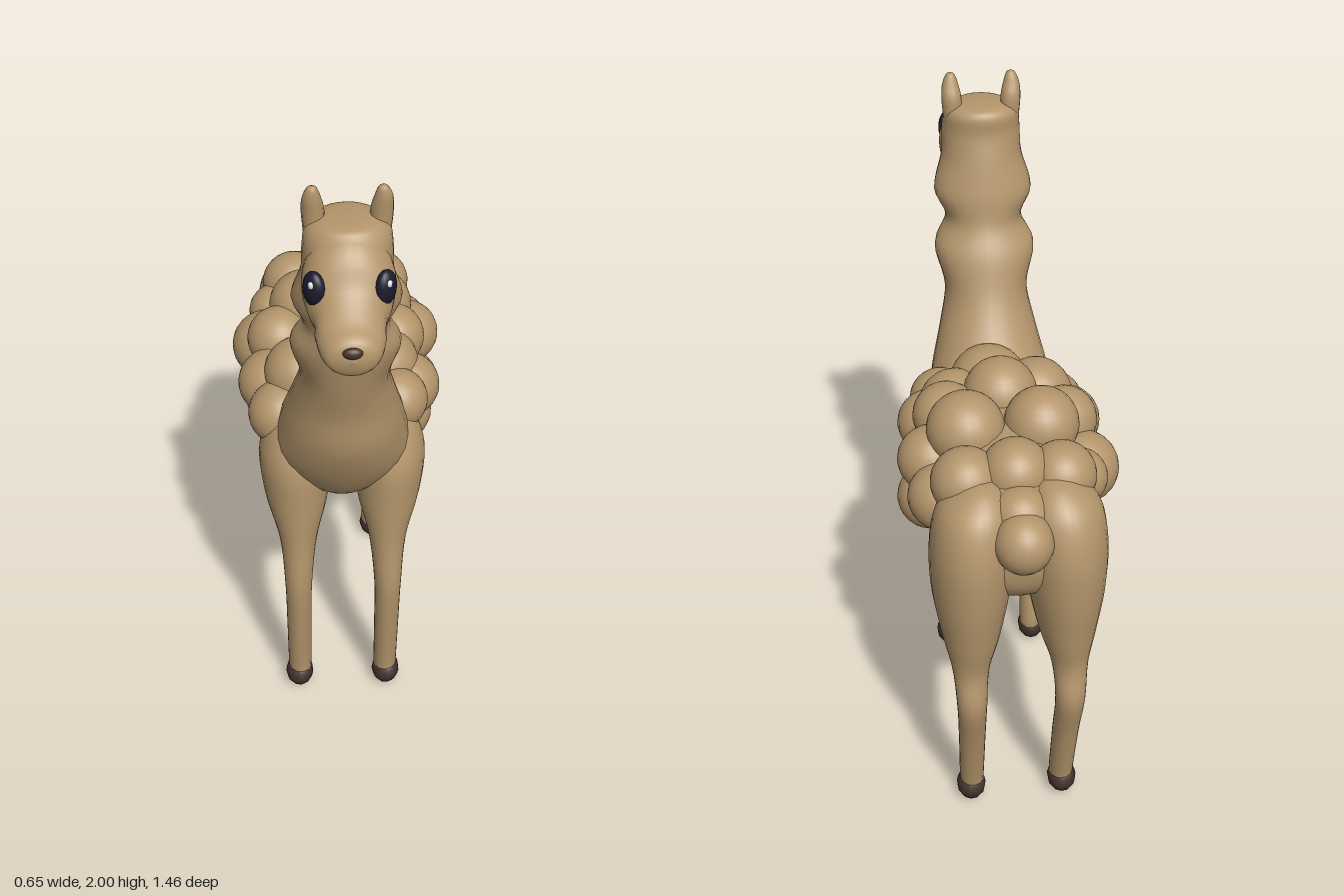
import * as THREE from 'three';

const mat = (name, color) => {
  const m = new THREE.MeshStandardMaterial({ color });
  m.name = name;
  return m;
};

// Smooth value between the rows of a profile, column by column
function sample(rows, t) {
  const i = Math.min(Math.floor(t), rows.length - 2), f = t - i;
  const p = k => rows[Math.max(0, Math.min(rows.length - 1, k))];
  return rows[i].map((_, c) => {
    const a = p(i - 1)[c], b = p(i)[c], d = p(i + 1)[c], e = p(i + 2)[c];
    return b + 0.5 * f * (d - a + f * (2 * a - 5 * b + 4 * d - e + f * (3 * (b - d) + e - a)));
  });
}

// Skin over elliptical rings. Rows run upwards along the axis:
// axis 'y': [y, x, z, radiusX, radiusZ]; axis 'z': [z, x, y, radiusX, radiusY]
function loft(rows, axis = 'y', side = 1, n = 28, steps = 5) {
  const pos = [], index = [], total = (rows.length - 1) * steps;
  for (let i = 0; i <= total; i++) {
    const [h, x, c, r1, r2] = sample(rows, i / steps);
    for (let j = 0; j < n; j++) {
      const a = (j / n) * Math.PI * 2;
      const px = x * side + Math.cos(a) * Math.max(r1, 0.0005);
      const q = Math.sin(a) * Math.max(r2, 0.0005);
      if (axis === 'y') pos.push(px, h, c + q);
      else pos.push(px, c - q, h);
      if (i < total) {
        const k = (j + 1) % n, a0 = i * n + j, b0 = i * n + k;
        index.push(a0, a0 + n, b0, b0, a0 + n, b0 + n);
      }
    }
  }
  const g = new THREE.BufferGeometry();
  g.setAttribute('position', new THREE.Float32BufferAttribute(pos, 3));
  g.setIndex(index);
  g.computeVertexNormals();
  return g;
}

export function createModel() {
  const root = new THREE.Group();
  root.name = 'woollyAnimal';
  const fur = mat('tan fur', 0xb3956b);
  const hoofBrown = mat('hoof brown', 0x43322d);
  const eyeNavy = mat('eye navy', 0x1b1b2e);
  const cheekPink = mat('cheek pink', 0xcb8494);
  const noseBrown = mat('nose brown', 0x4a3029);
  const white = mat('eye highlight', 0xf4f4f4);

  const add = (name, geo, material, parent = root) => {
    const m = new THREE.Mesh(geo, material);
    m.name = name;
    parent.add(m);
    return m;
  };
  const ball = (name, material, [x, y, z], [a, b, c], parent = root, seg = 20) => {
    const m = add(name, new THREE.SphereGeometry(1, seg, Math.round(seg * 0.7)), material, parent);
    m.position.set(x, y, z);
    m.scale.set(a, b, c);
    return m;
  };

  // Barrel of the body
  add('body', loft([
    [-0.66, 0, 1.0, 0, 0], [-0.64, 0, 1.0, 0.11, 0.1], [-0.57, 0, 1.0, 0.19, 0.17],
    [-0.42, 0, 1.0, 0.225, 0.205], [-0.2, 0, 1.0, 0.235, 0.215], [0.04, 0, 1.0, 0.23, 0.21],
    [0.18, 0, 1.0, 0.2, 0.18], [0.27, 0, 1.0, 0.12, 0.11], [0.3, 0, 1.0, 0, 0],
  ], 'z'), fur);

  // Chest, rippled neck and back of the skull
  add('neck', loft([
    [0.8, 0, 0.13, 0, 0], [0.83, 0, 0.14, 0.1, 0.1], [0.95, 0, 0.15, 0.2, 0.18],
    [1.1, 0, 0.2, 0.185, 0.2], [1.24, 0, 0.262, 0.15, 0.158], [1.36, 0, 0.315, 0.127, 0.137],
    [1.48, 0, 0.352, 0.153, 0.128], [1.565, 0, 0.383, 0.116, 0.115], [1.65, 0, 0.395, 0.148, 0.11],
    [1.75, 0, 0.425, 0.122, 0.115], [1.83, 0, 0.44, 0.118, 0.108], [1.885, 0, 0.43, 0.108, 0.095],
    [1.908, 0, 0.43, 0.07, 0.07], [1.914, 0, 0.43, 0, 0],
  ]), fur);

  // Face and muzzle
  add('face', loft([
    [0.38, 0, 1.76, 0, 0], [0.41, 0, 1.76, 0.09, 0.11], [0.49, 0, 1.757, 0.121, 0.143],
    [0.555, 0, 1.735, 0.112, 0.126], [0.6, 0, 1.7, 0.092, 0.091], [0.66, 0, 1.672, 0.086, 0.068],
    [0.71, 0, 1.662, 0.062, 0.05], [0.727, 0, 1.664, 0, 0],
  ], 'z'), fur);
  ball('nose', noseBrown, [0, 1.686, 0.718], [0.026, 0.016, 0.014]);

  const frontLeg = [
    [0.05, 0.14, 0.213, 0.035, 0.042], [0.1, 0.14, 0.21, 0.037, 0.045], [0.3, 0.14, 0.234, 0.039, 0.046],
    [0.48, 0.14, 0.25, 0.042, 0.05], [0.65, 0.138, 0.215, 0.058, 0.075], [0.8, 0.14, 0.16, 0.098, 0.13],
    [0.95, 0.145, 0.145, 0.105, 0.14], [1.06, 0.14, 0.14, 0.07, 0.09], [1.1, 0.14, 0.14, 0, 0],
  ];
  const rearLeg = [
    [0.05, 0.14, -0.52, 0.035, 0.042], [0.1, 0.14, -0.525, 0.037, 0.045], [0.3, 0.142, -0.575, 0.04, 0.046],
    [0.47, 0.145, -0.622, 0.044, 0.048], [0.59, 0.145, -0.592, 0.054, 0.062], [0.7, 0.14, -0.55, 0.085, 0.12],
    [0.85, 0.137, -0.527, 0.113, 0.163], [1.0, 0.132, -0.528, 0.12, 0.163], [1.12, 0.122, -0.53, 0.105, 0.125],
    [1.18, 0.11, -0.53, 0.05, 0.06], [1.195, 0.11, -0.53, 0, 0],
  ];
  const ear = [
    [1.84, 0.085, 0.42, 0.026, 0.026], [1.92, 0.088, 0.42, 0.03, 0.029], [1.965, 0.091, 0.43, 0.024, 0.022],
    [1.993, 0.09, 0.435, 0.013, 0.013], [2.0, 0.09, 0.435, 0, 0],
  ];

  // Mirrored parts
  for (const [s, side] of [[1, 'left'], [-1, 'right']]) {
    add(side + 'FrontLeg', loft(frontLeg, 'y', s), fur);
    add(side + 'RearLeg', loft(rearLeg, 'y', s), fur);
    add(side + 'Ear', loft(ear, 'y', s, 14, 4), fur);
    ball(side + 'FrontHoof', hoofBrown, [s * 0.142, 0.05, 0.213], [0.045, 0.05, 0.053], root, 11);
    ball(side + 'RearHoof', hoofBrown, [s * 0.142, 0.05, -0.523], [0.045, 0.05, 0.053], root, 11);

    const eye = new THREE.Group();
    eye.name = side + 'Eye';
    eye.position.set(s * 0.09, 1.778, 0.565);
    eye.rotation.y = s * 0.85;
    root.add(eye);
    ball('eyeball', eyeNavy, [0, 0, 0], [0.035, 0.051, 0.024], eye);
    ball('eyeHighlight', white, [s * -0.008, 0.022, 0.018], [0.009, 0.011, 0.007], eye, 10);

    ball(side + 'Cheek', cheekPink, [s * 0.08, 1.678, 0.63], [0.011, 0.024, 0.029]).rotation.y = s * -0.12;
  }

  // Wool tufts over the back and flanks: [x, y, z, radius]
  const tufts = [
    [0, 1.2, -0.08, 0.11], [-0.1, 1.195, -0.25, 0.11], [0.12, 1.19, -0.25, 0.115],
    [-0.13, 1.15, -0.45, 0.1], [0, 1.17, -0.45, 0.1], [0.14, 1.15, -0.45, 0.1],
    [0.02, 1.15, 0.06, 0.12], [-0.12, 1.13, 0.02, 0.11], [0.13, 1.13, -0.02, 0.11],
    [-0.22, 1.04, -0.26, 0.11], [-0.205, 1.06, -0.03, 0.105], [-0.18, 1.04, 0.1, 0.1],
    [-0.19, 0.93, -0.12, 0.1], [-0.19, 1.09, -0.38, 0.085], [-0.18, 1.14, -0.15, 0.1],
    [0.22, 1.09, -0.24, 0.1], [0.222, 0.93, -0.2, 0.1], [0.205, 1.06, 0, 0.1],
    [0.185, 0.95, -0.02, 0.1], [0.2, 1.04, -0.36, 0.1], [0.165, 1.08, 0.1, 0.095],
    [0.165, 1.16, -0.12, 0.1], [0, 1.1, -0.56, 0.09],
  ];
  const wool = new THREE.Group();
  wool.name = 'wool';
  root.add(wool);
  for (const [x, y, z, r] of tufts) ball('woolTuft', fur, [x, y, z], [r, r, r], wool, 24);
  ball('tail', fur, [0, 1.065, -0.637], [0.085, 0.09, 0.09]);

  return root;
}
